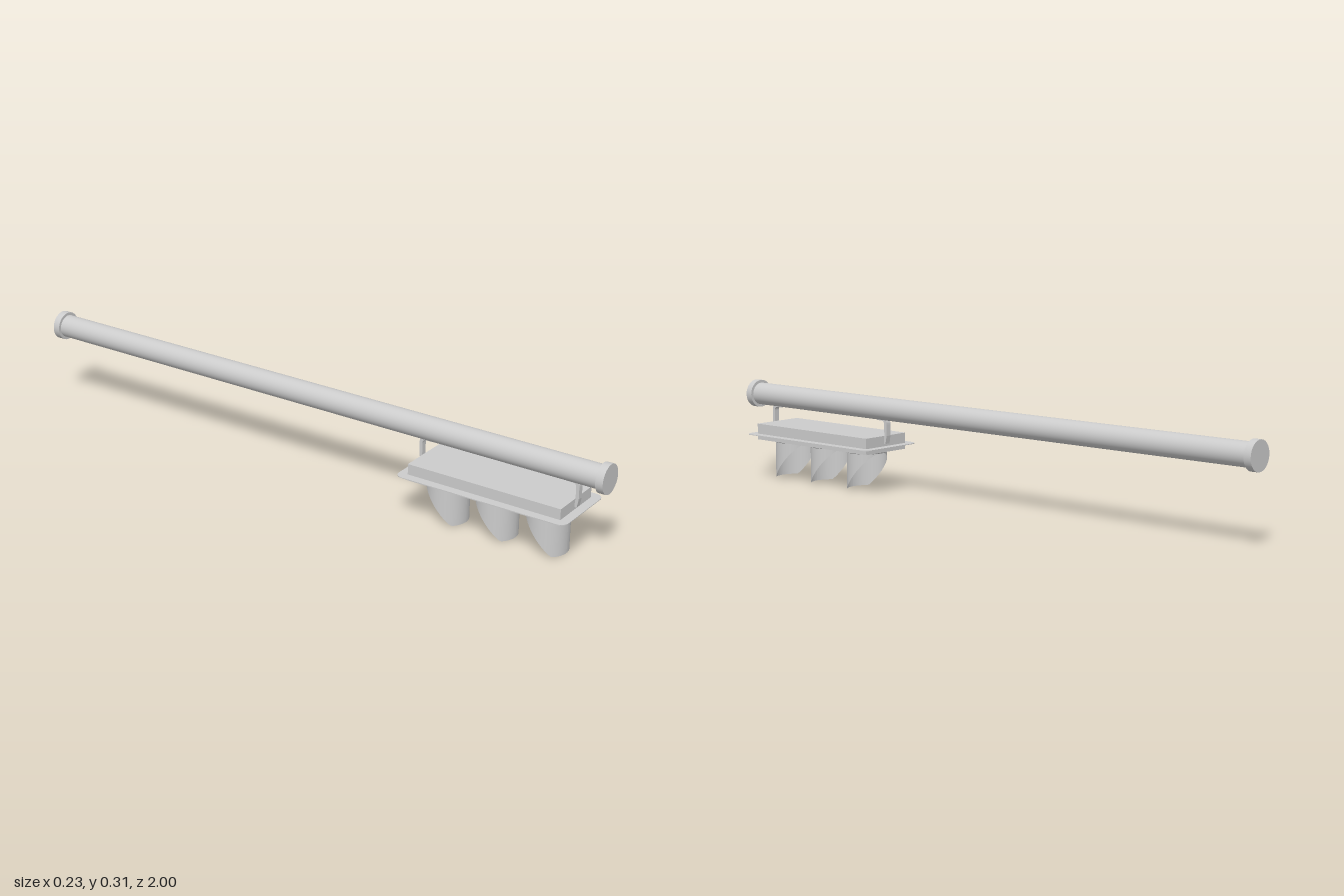
import * as THREE from 'three';

const grey = new THREE.MeshStandardMaterial({ color: 0xcccccc });
const thin = new THREE.MeshStandardMaterial({ color: 0xcccccc, side: THREE.DoubleSide });

export function createModel() {
  const model = new THREE.Group();
  const add = (name, geometry, x, y, z, material = grey) => {
    const mesh = new THREE.Mesh(geometry, material);
    mesh.name = name;
    mesh.position.set(x, y, z);
    model.add(mesh);
    return mesh;
  };
  const poleY = 0.264, lampZ = 0.65;

  // Long horizontal mast arm with a cap at each end
  add('mastArm', new THREE.CylinderGeometry(0.036, 0.036, 1.98, 40).rotateX(Math.PI / 2), 0, poleY, 0);
  for (const s of [1, -1]) {
    add(s > 0 ? 'frontCap' : 'backCap',
      new THREE.CylinderGeometry(0.045, 0.045, 0.023, 40).rotateX(Math.PI / 2), 0, poleY, s * 0.9885);
  }

  // Signal housing
  add('housing', new THREE.BoxGeometry(0.176, 0.052, 0.5), 0, 0.153, lampZ);

  // Thin backplate with rounded corners
  const w = 0.116, d = 0.278, r = 0.025;
  const plate = new THREE.Shape();
  plate.absarc(w - r, d - r, r, 0, Math.PI / 2);
  plate.absarc(-w + r, d - r, r, Math.PI / 2, Math.PI);
  plate.absarc(-w + r, -d + r, r, Math.PI, Math.PI * 1.5);
  plate.absarc(w - r, -d + r, r, Math.PI * 1.5, Math.PI * 2);
  const plateGeo = new THREE.ExtrudeGeometry(plate, { depth: 0.002, bevelEnabled: false, curveSegments: 8 });
  add('backplate', plateGeo.rotateX(-Math.PI / 2), 0, 0.144, lampZ);

  // Three lamps: flared collar, domed lens and a visor cut on a slant
  const R = 0.064, top = 0.128;
  for (let i = -1; i <= 1; i++) {
    const z = lampZ + i * 0.1655;
    add('lampCollar', new THREE.CylinderGeometry(0.074, R, 0.007, 48, 1, true), 0, 0.1235, z, thin);

    const dome = [[0, -0.006], [0.022, -0.005], [0.044, -0.002], [0.063, 0.003]]
      .map(([x, y]) => new THREE.Vector2(x, y));
    add('lens', new THREE.LatheGeometry(dome, 48), 0, 0.123, z, thin);

    const visor = new THREE.CylinderGeometry(R, R, 1, 64, 8, true);
    const p = visor.attributes.position;
    for (let k = 0; k < p.count; k++) {
      const cut = THREE.MathUtils.clamp((0.042 - p.getZ(k)) / 0.106, 0, 1) * 0.121;
      p.setY(k, THREE.MathUtils.lerp(cut, top, p.getY(k) + 0.5));
    }
    visor.computeVertexNormals();
    add('visor', visor, 0, 0, z, thin);
  }

  // Bent straps hanging the housing from the arm, one at each end
  const strap = new THREE.Shape();
  strap.moveTo(0.249, 0.154);
  strap.lineTo(0.257, 0.154);
  strap.lineTo(0.262, 0.18);
  strap.lineTo(0.262, 0.216);
  strap.quadraticCurveTo(0.262, 0.235, 0.244, 0.235);
  strap.lineTo(0.22, 0.235);
  strap.lineTo(0.22, 0.227);
  strap.lineTo(0.24, 0.227);
  strap.quadraticCurveTo(0.252, 0.227, 0.252, 0.214);
  strap.lineTo(0.252, 0.18);
  strap.closePath();
  const strapGeo = new THREE.ExtrudeGeometry(strap, { depth: 0.018, bevelEnabled: false, curveSegments: 8 });
  strapGeo.translate(0, 0, -0.009);
  for (const s of [1, -1]) {
    const mesh = add(s > 0 ? 'frontStrap' : 'backStrap', strapGeo, 0, 0, lampZ);
    mesh.rotation.y = -s * Math.PI / 2;
  }
  return model;
}
